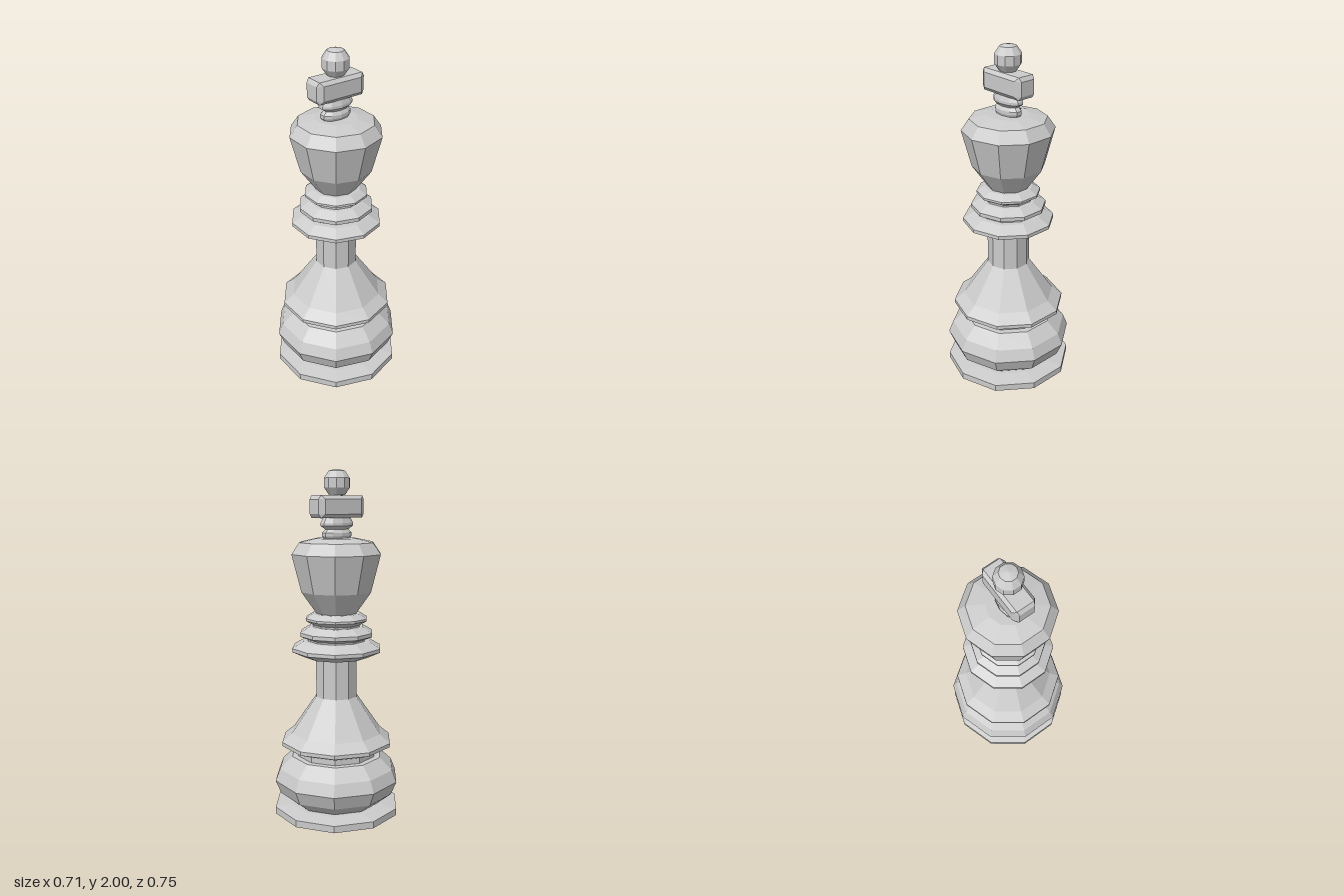
import * as THREE from 'three';
import { ConvexGeometry } from 'three/addons/geometries/ConvexGeometry.js';

const SIDES = 10;
const material = new THREE.MeshStandardMaterial({ color: 0xcccccc, flatShading: true });

// Ten-sided turned part from [radius, height] pairs, listed bottom to top
function turned(name, profile) {
  const points = profile.map(([r, y]) => new THREE.Vector2(r, y));
  const geometry = new THREE.LatheGeometry(points, SIDES);
  const mesh = new THREE.Mesh(geometry, material);
  mesh.name = name;
  return mesh;
}

// Box with all edges chamfered: each face is given by its own half extents
function chamferedBar(name) {
  const corners = [];
  for (const sx of [-1, 1]) for (const sy of [-1, 1]) for (const sz of [-1, 1]) {
    for (const [x, y, z] of [[0.138, 0.062, 0.05], [0.153, 0.04, 0.045], [0.121, 0.042, 0.067]]) {
      corners.push(new THREE.Vector3(sx * x, sy * y, sz * z));
    }
  }
  const mesh = new THREE.Mesh(new ConvexGeometry(corners), material);
  mesh.name = name;
  return mesh;
}

export function createModel() {
  const model = new THREE.Group();
  model.name = 'chessKing';

  // Foot and rounded base
  model.add(turned('footPlate', [[0, 0], [0.374, 0], [0.374, 0.04], [0.28, 0.055], [0, 0.055]]));
  model.add(turned('baseBulge', [
    [0, 0.055], [0.26, 0.06], [0.34, 0.125], [0.373, 0.205], [0.345, 0.275], [0.27, 0.345], [0, 0.35],
  ]));
  model.add(turned('baseNeck', [[0.235, 0.34], [0.235, 0.385]]));

  // Flared skirt running up into the column
  model.add(turned('skirt', [
    [0, 0.375], [0.235, 0.378], [0.33, 0.415], [0.33, 0.437], [0.27, 0.487], [0.123, 0.7],
  ]));
  model.add(turned('column', [[0.123, 0.7], [0.123, 0.94]]));

  // Three stacked collars
  model.add(turned('lowerCollar', [
    [0, 0.93], [0.185, 0.935], [0.264, 0.972], [0.264, 0.993], [0.2, 1.03], [0, 1.04],
  ]));
  model.add(turned('middleCollar', [
    [0.17, 1.025], [0.17, 1.04], [0.216, 1.06], [0.216, 1.082], [0.16, 1.115], [0, 1.12],
  ]));
  model.add(turned('upperCollar', [
    [0.14, 1.1], [0.14, 1.125], [0.183, 1.15], [0.183, 1.163], [0.14, 1.19], [0, 1.195],
  ]));

  // Head
  model.add(turned('head', [
    [0.115, 1.185], [0.207, 1.315], [0.263, 1.53], [0.218, 1.595], [0.118, 1.617], [0, 1.617],
  ]));

  // Finial: flattened stem rings, cross bar and ball
  const finial = new THREE.Group();
  finial.name = 'finial';
  const stem = turned('stemRings', [
    [0.08, 1.61], [0.094, 1.63], [0.094, 1.648], [0.073, 1.667],
    [0.104, 1.687], [0.104, 1.702], [0.085, 1.735], [0, 1.74],
  ]);
  stem.scale.z = 0.58;
  const bar = chamferedBar('crossBar');
  bar.position.y = 1.793;
  const ball = turned('ball', [
    [0, 1.85], [0.047, 1.857], [0.075, 1.897], [0.075, 1.95], [0.047, 1.99], [0, 2],
  ]);
  finial.add(stem, bar, ball);
  finial.position.x = -0.003;
  model.add(finial);

  return model;
}
